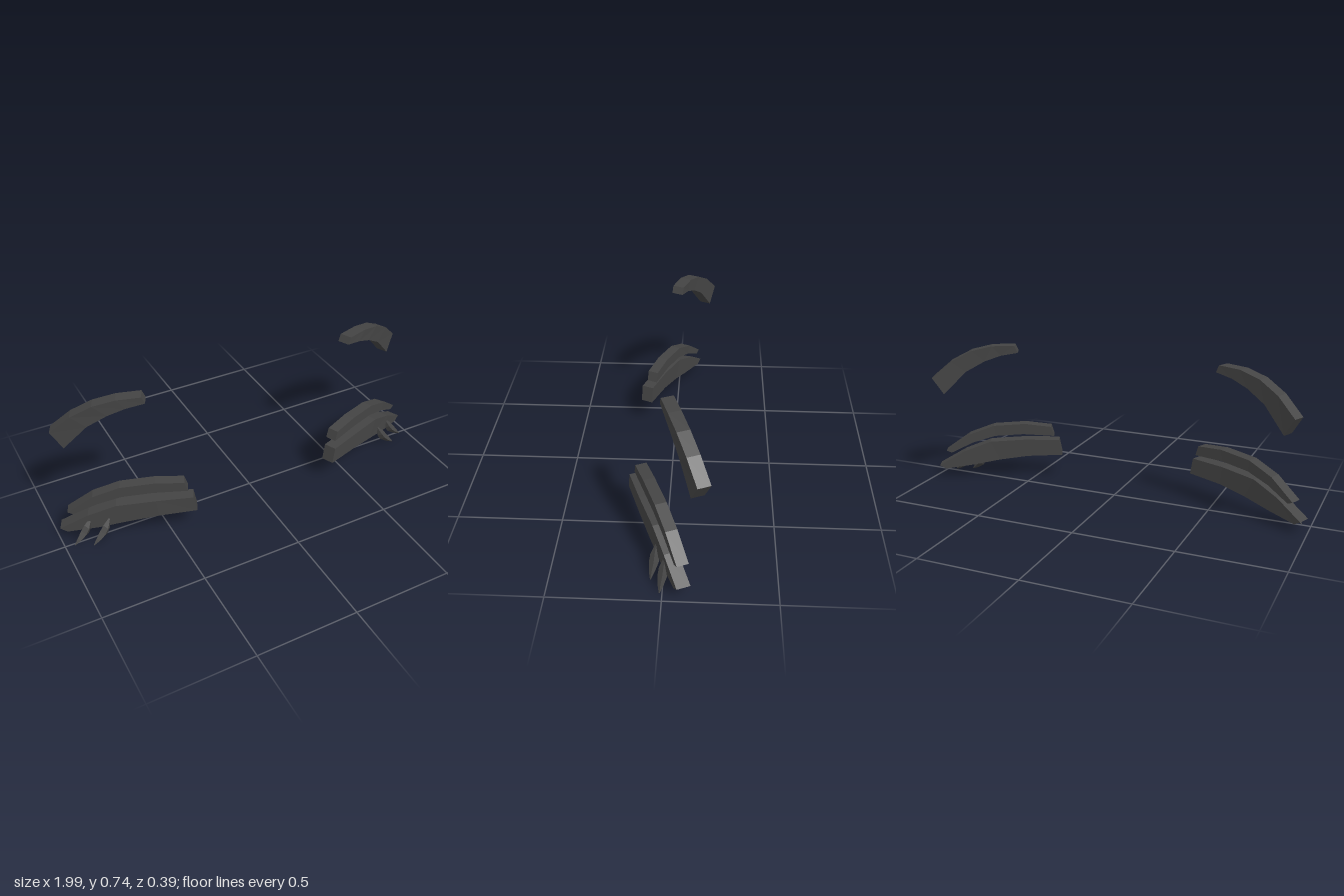
import * as THREE from 'three';

const material = new THREE.MeshStandardMaterial({ color: 0x444444, flatShading: true });

// Skins a series of four-point rings and closes both ends; side = -1 mirrors it in x.
function loft(name, rings, side) {
  const out = [];
  const tri = (a, b, c) => {
    for (const p of side > 0 ? [a, b, c] : [a, c, b]) out.push(p[0] * side, p[1], p[2]);
  };
  const quad = (a, b, c, d) => { tri(a, b, c); tri(a, c, d); };
  for (let i = 0; i < rings.length - 1; i++) {
    for (let k = 0; k < 4; k++) {
      const n = (k + 1) % 4;
      quad(rings[i][k], rings[i + 1][k], rings[i + 1][n], rings[i][n]);
    }
  }
  const end = rings[rings.length - 1];
  quad(...rings[0]);
  quad(end[3], end[2], end[1], end[0]);
  const geometry = new THREE.BufferGeometry();
  geometry.setAttribute('position', new THREE.Float32BufferAttribute(out, 3));
  geometry.computeVertexNormals();
  const mesh = new THREE.Mesh(geometry, material);
  mesh.name = name;
  return mesh;
}

// Arched bar: top and bottom [x, y] edges of its front face, which sweeps back in z.
function barRings({ top, bottom, z0, z1, bow, depth }) {
  const x0 = top[0][0], x1 = top[top.length - 1][0];
  const zAt = (x) => {
    const t = (x - x0) / (x1 - x0);
    return z0 + (z1 - z0) * t + bow * t * (1 - t);
  };
  const back = ([x, y, z]) => [x - depth * 0.4, y, z - depth * 0.92];
  return top.map(([x, y], i) => {
    const t = [x, y, zAt(x)];
    const [bx, by] = bottom[i];
    const b = [bx, by, zAt(bx)];
    return [t, back(t), back(b), b];
  });
}

const bars = {
  eyebrow: {
    top: [[0.56, 0.738], [0.67, 0.735], [0.77, 0.709], [0.865, 0.655], [0.955, 0.57]],
    bottom: [[0.545, 0.703], [0.63, 0.686], [0.71, 0.655], [0.80, 0.6], [0.905, 0.483]],
    z0: 0.024, z1: -0.143, bow: 0.05, depth: 0.06,
  },
  eyelidCrease: {
    top: [[0.43, 0.286], [0.56, 0.3], [0.715, 0.288], [0.835, 0.24], [0.95, 0.151]],
    bottom: [[0.415, 0.236], [0.57, 0.243], [0.71, 0.232], [0.82, 0.195], [0.925, 0.139]],
    z0: 0.153, z1: -0.062, bow: 0.035, depth: 0.055,
  },
  upperLashLine: {
    top: [[0.40, 0.209], [0.57, 0.208], [0.745, 0.195], [0.87, 0.143], [0.995, 0.065]],
    bottom: [[0.385, 0.126], [0.56, 0.116], [0.70, 0.094], [0.83, 0.066], [0.965, 0.045]],
    z0: 0.185, z1: -0.064, bow: 0.05, depth: 0.063,
  },
};

// Curved pointed lash: centre line [x, y, z] and half width per ring.
const lashPath = [
  [0.775, 0.12, 0.034, 0.004],
  [0.797, 0.078, 0.040, 0.02],
  [0.815, 0.052, 0.043, 0.022],
  [0.845, 0.025, 0.05, 0.014],
  [0.875, 0.002, 0.055, 0.002],
];
function lashRings(dx, dz) {
  return lashPath.map(([px, y, pz, r]) => {
    const x = px + dx, z = pz + dz;
    return [
      [x + r * 0.8, y + r * 0.6, z],
      [x, y, z - r],
      [x - r * 0.8, y - r * 0.6, z],
      [x, y, z + r],
    ];
  });
}

export function createModel() {
  const model = new THREE.Group();
  model.name = 'browsAndLashes';
  for (const side of [1, -1]) {
    const eye = new THREE.Group();
    eye.name = side > 0 ? 'leftEye' : 'rightEye';
    for (const [name, spec] of Object.entries(bars)) eye.add(loft(name, barRings(spec), side));
    eye.add(loft('innerLash', lashRings(0, 0), side));
    eye.add(loft('outerLash', lashRings(0.08, -0.043), side));
    model.add(eye);
  }
  return model;
}
